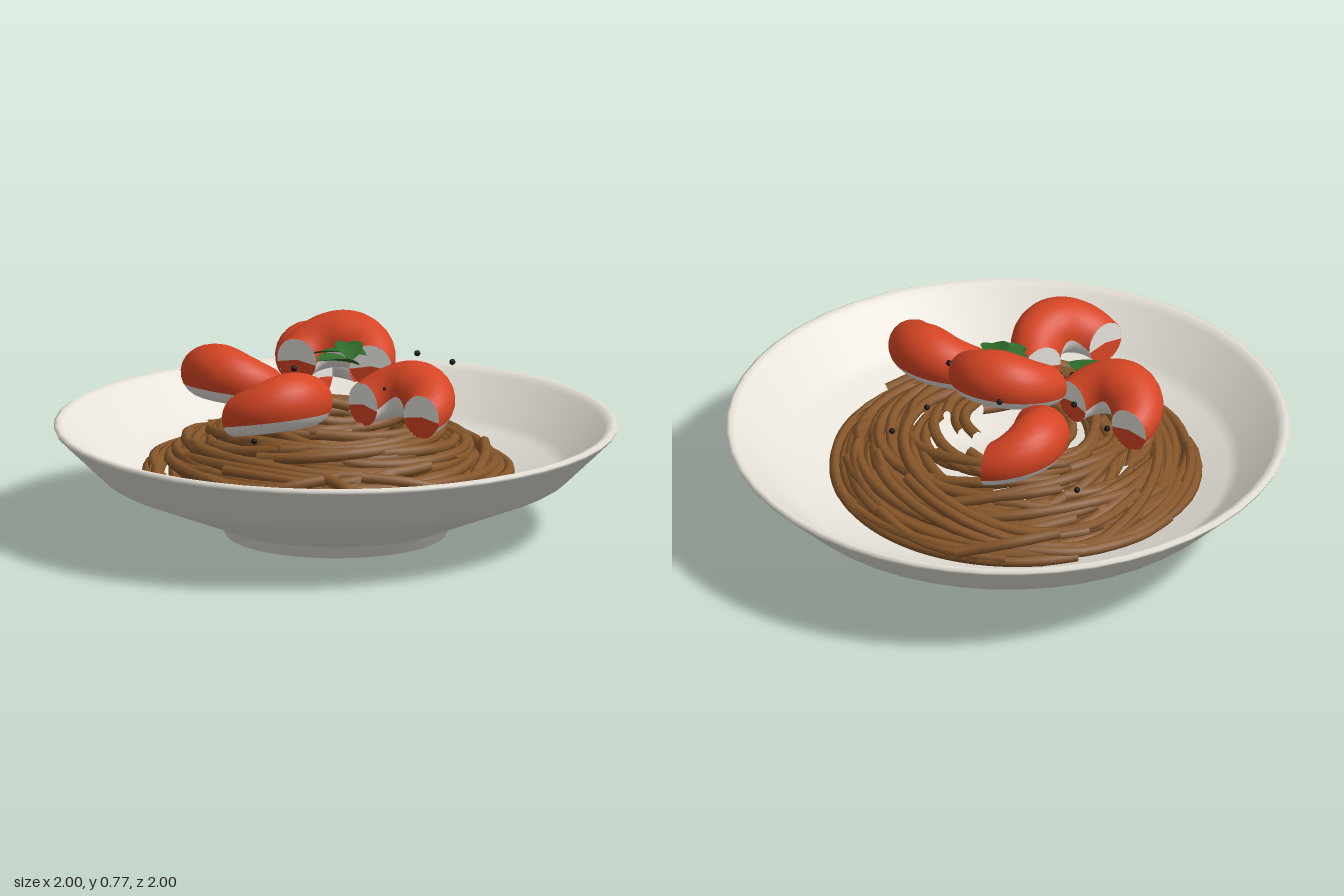
import * as THREE from 'three';

const mat = (name, color, side = THREE.FrontSide) => {
  const m = new THREE.MeshStandardMaterial({ color, side });
  m.name = name;
  return m;
};

// Small seeded generator, so the tangle is always the same
let seed = 7;
const rand = (a = 0, b = 1) => {
  seed = (seed * 16807) % 2147483647;
  return a + (b - a) * (seed / 2147483647);
};

// Curved sheet: maps u, v in 0..1 to points
function sheet(nu, nv, fn) {
  const g = new THREE.PlaneGeometry(1, 1, nu, nv);
  const p = g.attributes.position;
  for (let i = 0; i < p.count; i++) {
    const q = fn(p.getX(i) + 0.5, p.getY(i) + 0.5);
    p.setXYZ(i, q.x, q.y, q.z);
  }
  g.computeVertexNormals();
  return g;
}

export function createModel() {
  const model = new THREE.Group();
  model.name = 'noodleBowl';
  const ceramic = mat('ceramic', 0xe6e2d9);
  const noodleBrown = mat('noodle brown', 0x86562a);
  const shellRed = mat('shell red', 0xd64524, THREE.DoubleSide);
  const fleshWhite = mat('flesh white', 0xf0ece6, THREE.DoubleSide);
  const leafGreen = mat('leaf green', 0x2f6b2b, THREE.DoubleSide);
  const pepperBlack = mat('pepper black', 0x161412);

  const add = (name, geo, material, parent = model) => {
    const m = new THREE.Mesh(geo, material);
    m.name = name;
    parent.add(m);
    return m;
  };
  const addGroup = (name) => {
    const g = new THREE.Group();
    g.name = name;
    model.add(g);
    return g;
  };

  // Bowl: foot, flared wall, thin rim and hollow inside
  const profile = [
    [0, 0], [0.38, 0], [0.39, 0.002], [0.415, 0.045], [0.43, 0.054], [0.80, 0.205], [0.83, 0.222],
    [0.993, 0.38], [0.998, 0.392], [0.985, 0.4], [0.965, 0.395], [0.95, 0.38], [0.82, 0.255],
    [0.78, 0.228], [0.45, 0.09], [0.38, 0.072], [0, 0.065],
  ].map(([x, y]) => new THREE.Vector2(x, y));
  add('bowl', new THREE.LatheGeometry(profile, 48), ceramic);

  // Noodles: wandering arcs lying on a low mound
  const noodles = addGroup('noodles');
  const bowlFloor = (r) => (r < 0.42 ? 0.1 : 0.1 + (r - 0.42) * 0.42);
  const moundTop = (r) => 0.46 - 0.23 * Math.pow(Math.min(r, 0.66) / 0.64, 2.3);
  const count = 78;
  for (let i = 0; i < count; i++) {
    const base = 0.14 + 0.48 * Math.sqrt((i + 0.5) / count);
    const start = rand(0, Math.PI * 2);
    const span = rand(1.8, 4.6);
    const cx = rand(-0.07, 0.07), cz = rand(-0.07, 0.07);
    const drift = rand(-0.1, 0.08), phase = rand(0, 6.28);
    const depth = rand(0, 0.07);
    const pts = [];
    for (let k = 0; k <= 12; k++) {
      const t = k / 12, a = start + span * t;
      const rr = base + drift * (t - 0.5) + 0.025 * Math.sin(a * 2 + phase);
      let x = rr * Math.cos(a) + cx, z = rr * Math.sin(a) + cz;
      const d = Math.hypot(x, z), s = Math.min(1, 0.64 / d), r = d * s;
      x *= s; z *= s;
      const y = Math.max(bowlFloor(r) + 0.03, moundTop(r) - depth + 0.012 * Math.sin(a * 3 + phase));
      pts.push(new THREE.Vector3(x - 0.02, y, z + 0.02));
    }
    add('noodle', new THREE.TubeGeometry(new THREE.CatmullRomCurve3(pts), 30, 0.02, 7), noodleBrown, noodles);
  }
  // Loose ends sticking out of the tangle
  for (const [x1, z1, x2, z2] of [[0.63, 0.06, 0.42, 0.33], [-0.29, -0.6, -0.55, -0.34],
    [0.49, 0.38, 0.33, 0.42], [0.15, 0.62, 0.36, 0.38], [0.52, -0.15, 0.38, -0.36]]) {
    const a = new THREE.Vector3(x1, 0.26, z1), b = new THREE.Vector3(x2, 0.33, z2);
    const mid = a.clone().lerp(b, 0.5).multiplyScalar(1.04);
    add('looseNoodle', new THREE.TubeGeometry(new THREE.CatmullRomCurve3([a, mid, b]), 10, 0.02, 7),
      noodleBrown, noodles);
  }

  // Prawns: drooping, tapered half rings with red back and white belly
  const arc = Math.PI * 0.93, R = 0.14;
  const prawnPoint = (t, w, scale) => {
    const a = (t - 0.5) * arc, bulge = Math.sin(Math.PI * t);
    const r = (0.077 + 0.025 * bulge) * scale;
    const d = R + r * Math.cos(w);
    return new THREE.Vector3(d * Math.cos(a), -0.055 * (1 - bulge) + r * Math.sin(w), d * Math.sin(a));
  };
  const rad = THREE.MathUtils.degToRad;
  const band = (from, to) => sheet(28, 14, (u, v) => prawnPoint(u, rad(from + (to - from) * v), 1));
  const cap = (t, from, to) => sheet(12, 1, (u, v) => prawnPoint(t, rad(from + (to - from) * u), v));
  // Sheets wound so their outer side is the front
  const outward = (g) => {
    const p = g.attributes.position, n = g.attributes.normal;
    let sum = 0;
    for (let i = 0; i < p.count; i++) {
      const a = Math.atan2(p.getZ(i), p.getX(i));
      sum += n.getX(i) * (p.getX(i) - R * Math.cos(a)) + n.getZ(i) * (p.getZ(i) - R * Math.sin(a))
        + n.getY(i) * p.getY(i);
    }
    if (sum < 0) {
      g.index.array.reverse();
      g.computeVertexNormals();
    }
    return g;
  };
  const shell = outward(band(-25, 185)), belly = outward(band(185, 335));
  // centre x, height, centre z, facing angle of the back, tilt
  for (const [x, y, z, angle, tilt] of [
    [-0.2, 0.57, -0.255, 165, 0], [-0.33, 0.57, 0.105, 92, 0], [0.0, 0.57, 0.36, 12, 0],
    [0.345, 0.57, 0.1, -90, 0], [-0.015, 0.665, 0.005, -112, 0.05],
  ]) {
    const prawn = addGroup('prawn');
    prawn.position.set(x, y, z);
    prawn.rotation.set(0, -rad(angle), tilt);
    add('prawnShell', shell, shellRed, prawn);
    add('prawnBelly', belly, fleshWhite, prawn);
    for (const t of [0, 1]) {
      add('prawnEndUpper', cap(t, -10, 190), fleshWhite, prawn);
      add('prawnEndLower', cap(t, 190, 350), shellRed, prawn);
    }
  }

  // Herb leaves: pointed, slightly folded blades
  const leaf = sheet(12, 4, (u, v) => {
    const s = (v - 0.5) * 2, w = 0.5 * Math.pow(Math.sin(Math.PI * Math.pow(u, 0.85)), 0.8);
    return new THREE.Vector3(u - 0.5, 0.12 * Math.abs(s) * w * 2 - 0.25 * (u - 0.5) ** 2, s * w * 0.5);
  });
  // position, turn, tilt, length, width
  for (const [x, y, z, turn, tilt, len, wid] of [
    [-0.085, 0.48, 0.36, 0, 0.05, 0.25, 0.24], [-0.2, 0.45, 0.31, 70, 0.2, 0.1, 0.1],
    [0.02, 0.66, 0.0, 10, 0.1, 0.22, 0.28], [0.05, 0.64, 0.04, 75, -0.2, 0.18, 0.22],
    [0.06, 0.68, 0.0, 140, 0.15, 0.18, 0.2],
  ]) {
    const m = add('herbLeaf', leaf, leafGreen);
    m.position.set(x, y, z);
    m.rotation.set(0, rad(turn), tilt);
    m.scale.set(len, 0.15, wid);
  }

  // Peppercorns scattered over the dish
  const pepper = addGroup('peppercorns');
  const corn = new THREE.SphereGeometry(0.011, 8, 6);
  for (const [x, y, z] of [
    [-0.49, 0.41, -0.18], [0.07, 0.6, -0.35], [0.11, 0.55, -0.49], [0.29, 0.58, 0.06], [-0.26, 0.56, 0.06],
    [-0.39, 0.5, 0.09], [0.19, 0.62, -0.1], [-0.1, 0.6, 0.11], [-0.09, 0.53, 0.24], [-0.02, 0.5, 0.25],
    [-0.14, 0.64, -0.2], [-0.12, 0.57, 0.15], [0.0, 0.41, 0.43],
  ]) add('peppercorn', corn, pepperBlack, pepper).position.set(x, y, z);

  return model;
}
